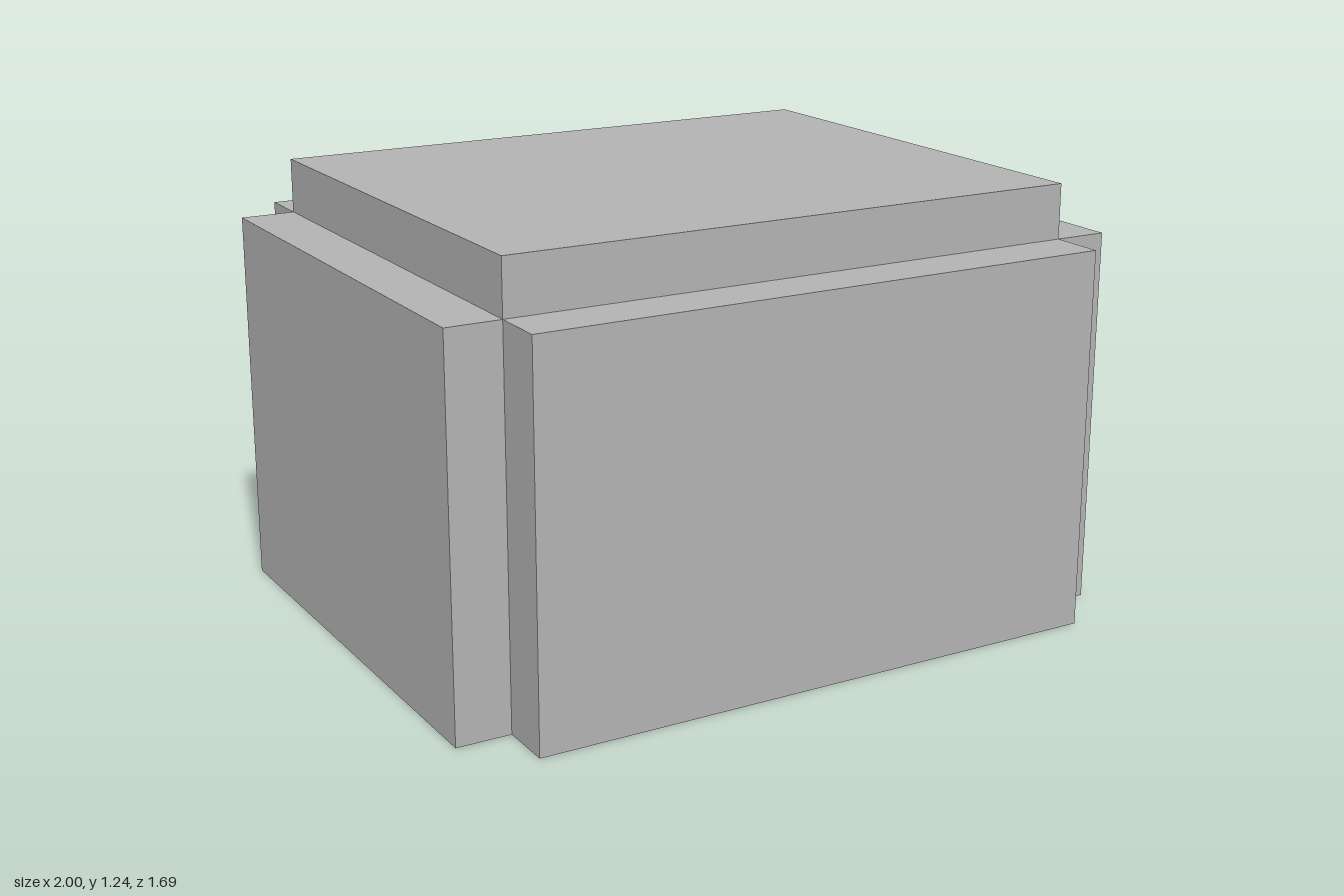
import * as THREE from 'three';

// Half sizes of the core and of the raised panels, and the two heights
const CORE_X = 0.845, CORE_Z = 0.69;
const OUT_X = 1, OUT_Z = 0.845;
const SHOULDER = 1.08, TOP = 1.235;

// Upright strip of flat faces through [x, z] points, facing outward
function wallStrip(points, y0, y1) {
  const pos = [];
  for (let i = 0; i < points.length - 1; i++) {
    const [ax, az] = points[i], [bx, bz] = points[i + 1];
    pos.push(ax, y0, az, bx, y0, bz, bx, y1, bz, ax, y0, az, bx, y1, bz, ax, y1, az);
  }
  const geo = new THREE.BufferGeometry();
  geo.setAttribute('position', new THREE.Float32BufferAttribute(pos, 3));
  geo.computeVertexNormals();
  return geo;
}

// Level sheet facing up
function sheet(width, depth, x, y, z) {
  return new THREE.PlaneGeometry(width, depth).rotateX(-Math.PI / 2).translate(x, y, z);
}

export function createModel() {
  const model = new THREE.Group();
  model.name = 'openBottomShell';
  const grey = new THREE.MeshStandardMaterial({ color: 0xb2b2b2, side: THREE.DoubleSide });
  grey.name = 'plainGrey';

  const add = (parent, name, geometry) => {
    const mesh = new THREE.Mesh(geometry, grey);
    mesh.name = name;
    parent.add(mesh);
  };

  // Four raised side panels: outer face with two returns, and a ledge on top
  const panels = [
    ['front', 0, 1, CORE_X, CORE_Z, OUT_Z],
    ['left', Math.PI / 2, 1, CORE_Z, CORE_X, OUT_X],
    ['back', Math.PI, 1, CORE_X, CORE_Z, OUT_Z],
    ['right', -Math.PI / 2, 1, CORE_Z, CORE_X, OUT_X],
  ];
  for (const [side, turn, , half, inner, outer] of panels) {
    const panel = new THREE.Group();
    panel.name = side + 'Panel';
    panel.rotation.y = turn;
    add(panel, side + 'PanelWall',
      wallStrip([[-half, inner], [-half, outer], [half, outer], [half, inner]], 0, SHOULDER));
    add(panel, side + 'PanelLedge',
      sheet(half * 2, outer - inner, 0, SHOULDER, (inner + outer) / 2));
    model.add(panel);
  }

  // Raised lid: a band around the core and a flat top, left open underneath
  const lid = new THREE.Group();
  lid.name = 'lid';
  add(lid, 'lidBand', wallStrip(
    [[-CORE_X, CORE_Z], [CORE_X, CORE_Z], [CORE_X, -CORE_Z], [-CORE_X, -CORE_Z], [-CORE_X, CORE_Z]],
    SHOULDER, TOP));
  add(lid, 'lidTop', sheet(CORE_X * 2, CORE_Z * 2, 0, TOP, 0));
  model.add(lid);

  return model;
}
